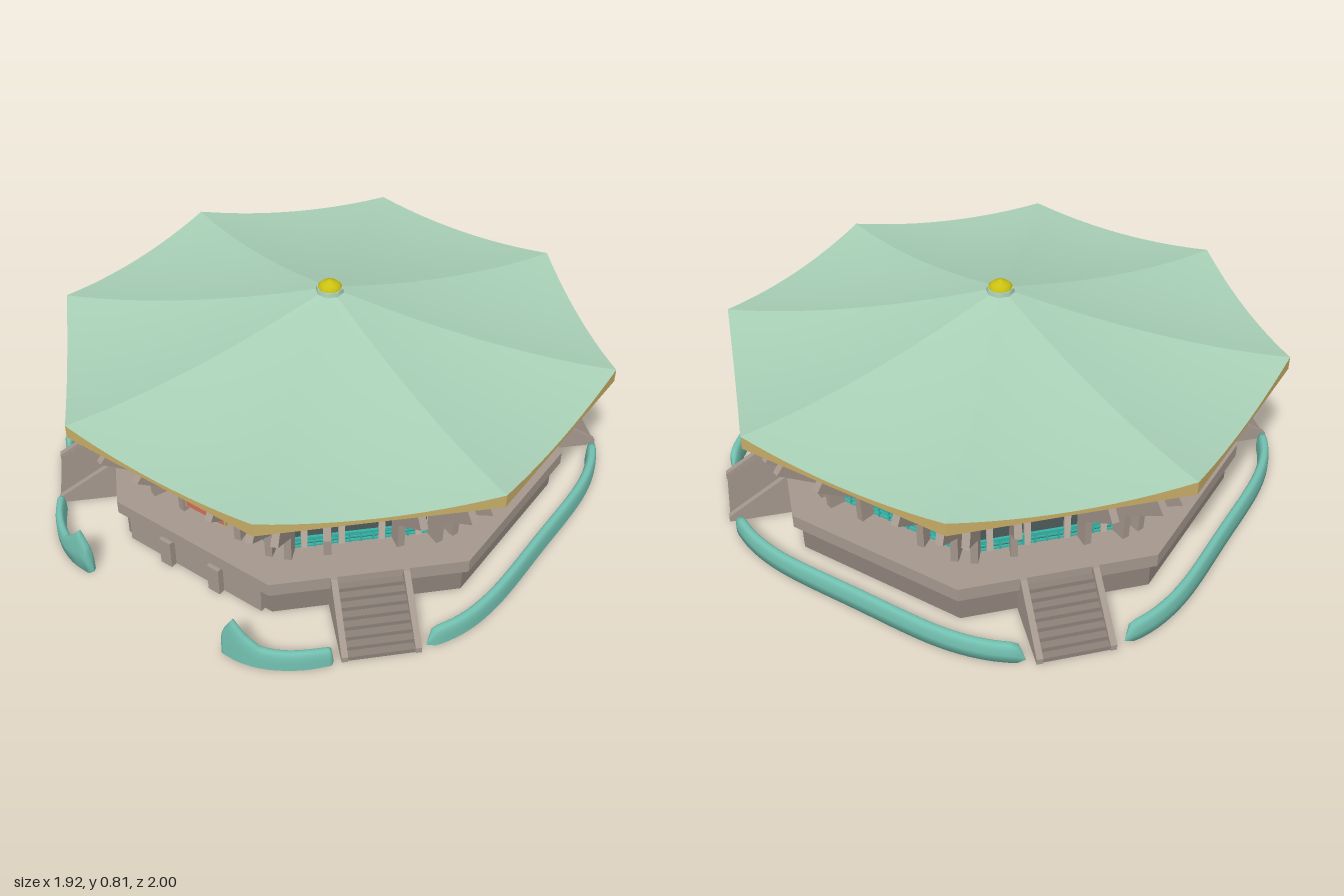
import * as THREE from 'three';

const CZ = -0.04;                       // centre of the hall
const TAN = Math.tan(Math.PI / 8), COS = Math.cos(Math.PI / 8);
const mat = (color, flatShading = true) =>
  new THREE.MeshStandardMaterial({ color, flatShading, side: THREE.DoubleSide });
const M = {
  roof: mat(0xa8cfb6, false), gold: mat(0xc6ac66), eave: mat(0x80713f), finial: mat(0xc9c012, false),
  stone: mat(0xa4978d), pale: mat(0xc6b7a9), dark: mat(0x5c5450), base: mat(0x8d8179),
  teal: mat(0x35b3a6), glass: mat(0x4d5a5a), hedge: mat(0x72c0b0, false), red: mat(0xcf6a62),
};

function add(parent, name, geo, material, x = 0, y = 0, z = 0) {
  const m = new THREE.Mesh(geo, material);
  m.name = name;
  m.position.set(x, y, z);
  parent.add(m);
  return m;
}
const box = (p, name, w, h, d, material, x, y, z) =>
  add(p, name, new THREE.BoxGeometry(w, h, d), material, x, y, z);

// Octagonal prism or frustum, sized by the distance from centre to side
const octagon = (p, name, aTop, aBottom, y0, y1, material) =>
  add(p, name, new THREE.CylinderGeometry(aTop / COS, aBottom / COS, y1 - y0, 8, 1, false, Math.PI / 8),
    material, 0, (y0 + y1) / 2, 0);

// Surface from a grid of points: f(u, v) returns [x, y, z]
function surface(nu, nv, f) {
  const pos = [], idx = [];
  for (let i = 0; i <= nu; i++) for (let j = 0; j <= nv; j++) pos.push(...f(i / nu, j / nv));
  for (let i = 0; i < nu; i++) for (let j = 0; j < nv; j++) {
    const a = i * (nv + 1) + j, b = a + nv + 1;
    idx.push(a, b, a + 1, b, b + 1, a + 1);
  }
  const g = new THREE.BufferGeometry();
  g.setAttribute('position', new THREE.Float32BufferAttribute(pos, 3));
  g.setIndex(idx);
  g.computeVertexNormals();
  return g;
}

// Profile given in (radius, height), extruded sideways to a thickness
function slab(points, thick) {
  const g = new THREE.ExtrudeGeometry(new THREE.Shape(points.map(p => new THREE.Vector2(...p))),
    { depth: thick, bevelEnabled: false });
  g.translate(0, 0, -thick / 2);
  return g.rotateY(-Math.PI / 2);       // radius now runs along +z
}

// Sweeping roof: height falls from peak to corner and sags between ridges
const roofY = (t, s) => 0.58 + 0.195 * Math.pow(1 - t, 1.75) - 0.035 * (1 - s * s) * t * t;
const A = 0.96;
const roofGeo = surface(16, 12, (u, v) => {
  const s = 2 * v - 1;
  return [A * u * TAN * s, roofY(u, s), A * u];
});
roofGeo.setIndex([...roofGeo.index.array]);
const fasciaGeo = surface(1, 12, (u, v) => {
  const s = 2 * v - 1;
  return [A * TAN * s, u ? 0.53 : roofY(1, s), A];
});

const ribGeo = slab([[0.67, 0.16], [0.725, 0.16], [0.73, 0.275], [0.9, 0.41], [0.865, 0.452],
  [0.8, 0.452], [0.67, 0.31]], 0.026);

// One of the eight sides, built facing +z
function side(k) {
  const g = new THREE.Group();
  g.name = 'hallSide';
  g.rotation.y = k * Math.PI / 4;
  add(g, 'roofPanel', roofGeo, M.roof);
  add(g, 'roofFascia', fasciaGeo, M.gold);

  // Leaning pillars, fanned out from the centre
  for (const deg of [-20, -10, 10, 20]) {
    const phi = deg * Math.PI / 180;
    const rib = add(g, 'leaningPillar', ribGeo, M.stone);
    rib.rotation.y = phi;
    rib.scale.z = 1 / Math.cos(phi);
  }

  // Upright slats beneath the eaves
  for (let i = 0; i < 27; i++)
    box(g, 'eaveSlat', 0.012, 0.062, 0.018, M.pale, (i - 13) * 0.0255, 0.484, 0.84);

  // Windows: glazed on the diagonal sides, a low lattice on the others
  const diagonal = k % 2 === 1;
  if (diagonal) box(g, 'windowGlass', 0.46, 0.12, 0.01, M.glass, 0, 0.225, 0.662);
  for (const y of [0.17, 0.188, 0.207])
    box(g, 'windowRail', 0.5, 0.006, 0.012, M.teal, 0, y, 0.67);
  box(g, 'windowPanel', 0.5, 0.02, 0.008, M.teal, 0, 0.197, 0.668);
  for (let i = -6; i <= 6; i++)
    box(g, 'windowMullion', 0.006, 0.045, 0.012, M.teal, i * 0.041, 0.188, 0.672);
  if (diagonal) for (const x of [-0.2, -0.07, 0.07, 0.2])
    box(g, 'windowPost', 0.022, 0.13, 0.016, M.pale, x, 0.225, 0.672);

  if (diagonal) g.add(stairs());
  return g;
}

// Flight of steps between sloping cheek walls
function stairs() {
  const g = new THREE.Group();
  g.name = 'stairs';
  const r0 = 0.8, r1 = 1.05, n = 9, top = 0.15;
  const profile = [[r0, 0], [r1, 0]];
  for (let i = 0; i < n; i++) {
    const y = top * (i + 1) / n, step = (r1 - r0) / n;
    profile.push([r1 - step * i, y], [r1 - step * (i + 1), y]);
  }
  add(g, 'steps', slab(profile, 0.23), M.base);
  const cheek = slab([[0.78, 0], [1.054, 0], [1.054, 0.022], [0.84, 0.165], [0.78, 0.165]], 0.022);
  for (const x of [-0.124, 0.124]) add(g, 'stairCheek', cheek, M.stone, x);
  return g;
}

// Rounded hedge swept along a ground path, with heights spaced along it
function hedge(points, heights, width) {
  const curve = new THREE.CatmullRomCurve3(points.map(([x, z]) => new THREE.Vector3(x, 0, z)));
  const pow = (c, e) => Math.sign(c) * Math.pow(Math.abs(c), e);
  return surface(48, 14, (u, v) => {
    const p = curve.getPointAt(u), t = curve.getTangentAt(u);
    const f = u * (heights.length - 1), i = Math.min(Math.floor(f), heights.length - 2);
    const e = Math.min(1, Math.min(u, 1 - u) * 24);
    const round = Math.sqrt(1 - (1 - e) ** 2);
    const h = THREE.MathUtils.lerp(heights[i], heights[i + 1], f - i) * Math.sqrt(round);
    const ang = Math.min(1, v * 14 / 13) * Math.PI;
    const last = v === 1;               // closes the underside
    const off = last ? width * round / 2 : pow(Math.cos(ang), 0.7) * width * round / 2;
    return [p.x - t.z * off, last ? 0 : h * pow(Math.max(0, Math.sin(ang)), 0.6), p.z + t.x * off];
  });
}

export function createModel() {
  const model = new THREE.Group();
  model.name = 'octagonalHall';
  const hall = new THREE.Group();
  hall.name = 'hall';
  hall.position.z = CZ;
  model.add(hall);

  // Plinth, terrace and core walls
  octagon(hall, 'plinth', 0.8, 0.8, 0, 0.115, M.base);
  octagon(hall, 'terrace', 0.83, 0.83, 0.113, 0.165, M.stone);
  octagon(hall, 'coreWall', 0.66, 0.66, 0.16, 0.31, M.pale);

  // Flaring soffit with stepped louvres
  octagon(hall, 'soffit', 0.81, 0.64, 0.295, 0.452, M.dark);
  for (let i = 0; i < 6; i++) {
    const a = 0.685 + i * 0.028, y = 0.3 + i * 0.027;
    octagon(hall, 'soffitLouvre', a, a, y, y + 0.009, i % 2 ? M.base : M.stone);
  }

  // Slatted band, top beam and flat underside of the eaves
  octagon(hall, 'slatBacking', 0.825, 0.825, 0.45, 0.53, M.base);
  octagon(hall, 'lowerBeam', 0.85, 0.85, 0.446, 0.458, M.pale);
  octagon(hall, 'upperBeam', 0.85, 0.85, 0.512, 0.53, M.pale);
  octagon(hall, 'eaveUnderside', 0.958, 0.958, 0.53, 0.535, M.eave);

  for (let k = 0; k < 8; k++) hall.add(side(k));

  // Finial on the peak
  octagon(hall, 'finialBase', 0.045, 0.05, 0.745, 0.775, M.roof);
  const knob = [[0.042, 0.77], [0.043, 0.78], [0.032, 0.791], [0.014, 0.799], [0, 0.808]];
  add(hall, 'finialKnob', new THREE.LatheGeometry(knob.map(p => new THREE.Vector2(...p)), 24), M.finial);

  // Front name board, left blank, in a gilt frame
  box(hall, 'boardFrame', 0.18, 0.092, 0.014, M.gold, 0, 0.265, 0.735);
  box(hall, 'boardPanel', 0.166, 0.078, 0.016, M.red, 0, 0.265, 0.737);

  // Piers and panel under the front terrace
  box(hall, 'frontPanel', 0.6, 0.11, 0.03, M.stone, 0, 0.055, 0.805);
  for (const x of [-0.11, 0.11]) box(hall, 'frontPier', 0.05, 0.113, 0.05, M.stone, x, 0.0565, 0.82);

  // Hedges round the hall, broken at the stairs and the front
  const frontHeights = [0.09, 0.175, 0.12, 0.083, 0.076, 0.073, 0.073, 0.07, 0.065];
  const sideHeights = [0.068, 0.075, 0.075, 0.068];
  for (const m of [-1, 1]) {
    add(model, 'frontHedge', hedge([[0.295, 0.982], [0.38, 0.977], [0.46, 0.95], [0.55, 0.89], [0.625, 0.81]]
      .map(([x, z]) => [m * x, z]), frontHeights, 0.036), M.hedge);
    add(model, 'sideHedge', hedge([[0.835, 0.575], [0.895, 0.45], [0.925, 0.3], [0.93, CZ], [0.925, -0.38],
      [0.895, -0.53], [0.845, -0.645]].map(([x, z]) => [m * x, z]), sideHeights, 0.04), M.hedge);
  }
  add(model, 'backHedge', hedge([[-0.61, -0.88], [-0.48, -0.935], [-0.33, -0.965], [0, -0.97], [0.33, -0.965],
    [0.48, -0.935], [0.61, -0.88]], sideHeights, 0.04), M.hedge);
  return model;
}
